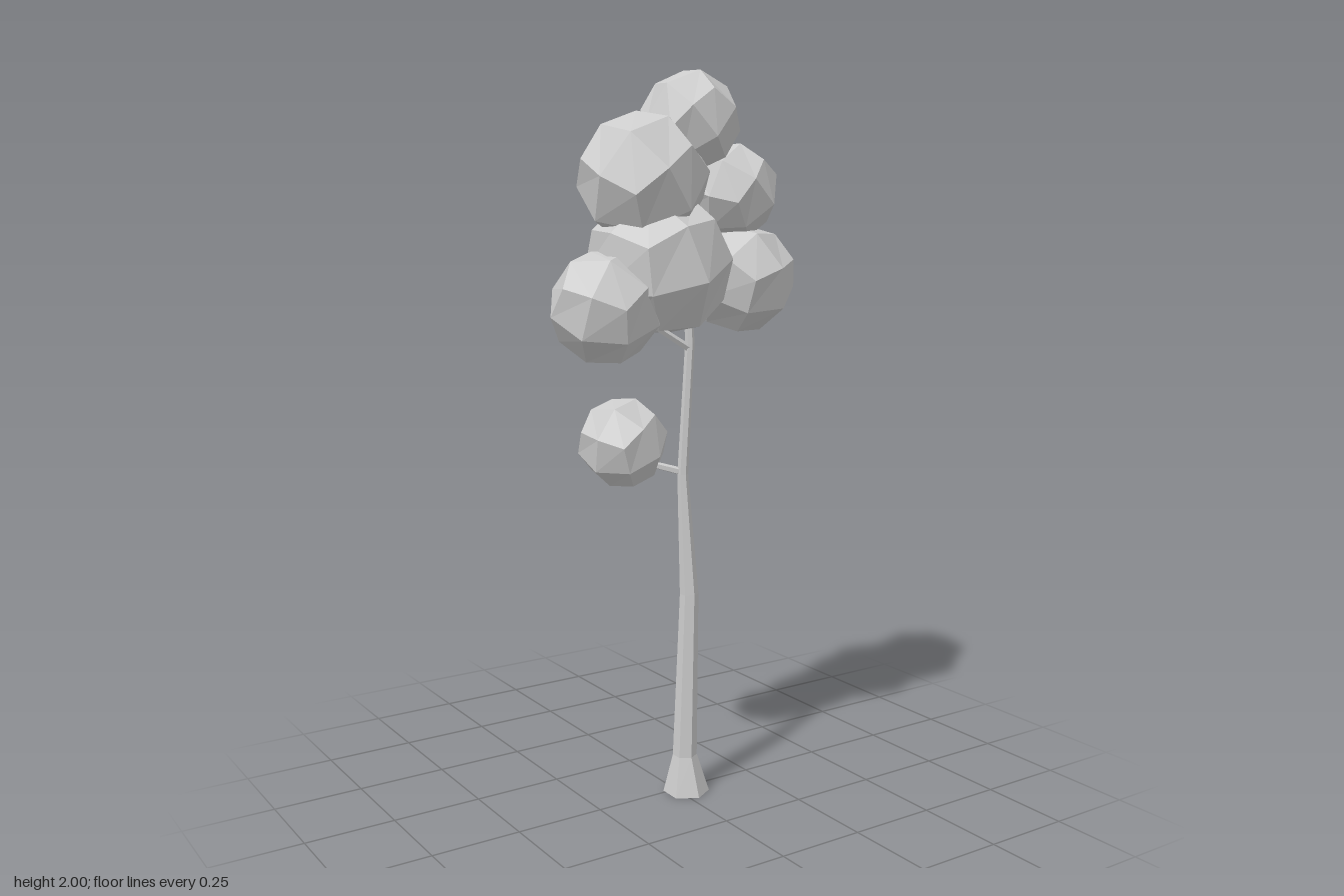
import * as THREE from 'three';

const bark = new THREE.MeshStandardMaterial({ color: 0xcccccc, flatShading: true });
const leaf = new THREE.MeshStandardMaterial({ color: 0xcccccc, flatShading: true });

// Lofted limb: one horizontal or angled ring per [x, y, z, radius] station
function limb(name, stations, sides, axis) {
  const geo = new THREE.CylinderGeometry(1, 1, 1, sides, stations.length - 1);
  const pos = geo.attributes.position;
  const turn = new THREE.Quaternion().setFromUnitVectors(new THREE.Vector3(0, 1, 0), axis);
  const v = new THREE.Vector3();
  for (let i = 0; i < pos.count; i++) {
    v.fromBufferAttribute(pos, i);
    const [x, y, z, r] = stations[Math.round((v.y + 0.5) * (stations.length - 1))];
    v.y = 0;
    v.multiplyScalar(r).applyQuaternion(turn);
    pos.setXYZ(i, v.x + x, v.y + y, v.z + z);
  }
  geo.computeVertexNormals();
  const mesh = new THREE.Mesh(geo, bark);
  mesh.name = name;
  return mesh;
}

function branch(name, a, b, r0, r1) {
  const axis = new THREE.Vector3(b[0] - a[0], b[1] - a[1], b[2] - a[2]).normalize();
  return limb(name, [[...a, r0], [...b, r1]], 5, axis);
}

// Faceted ball: a cube of 2 x 2 quads per side, pushed out to a sphere
function leafBall(name, [x, y, z, r], [rx, ry, rz]) {
  const geo = new THREE.BoxGeometry(1, 1, 1, 2, 2, 2);
  const pos = geo.attributes.position;
  const v = new THREE.Vector3();
  for (let i = 0; i < pos.count; i++) {
    v.fromBufferAttribute(pos, i).setLength(r);
    pos.setXYZ(i, v.x, v.y, v.z);
  }
  geo.computeVertexNormals();
  const mesh = new THREE.Mesh(geo, leaf);
  mesh.name = name;
  mesh.position.set(x, y, z);
  mesh.rotation.set(rx, ry, rz);
  return mesh;
}

export function createModel() {
  const tree = new THREE.Group();
  tree.name = 'tree';

  // Trunk: flared foot, gentle bends, thin top inside the crown
  tree.add(limb('trunk', [
    [0.022, 0, 0.022, 0.065],
    [0.017, 0.11, 0.022, 0.034],
    [0.029, 0.58, 0.025, 0.026],
    [0.013, 0.92, 0.016, 0.015],
    [0.029, 1.28, 0.026, 0.013],
    [0.02, 1.5, 0.02, 0.009],
  ], 6, new THREE.Vector3(0, 1, 0)));

  // Side branches
  tree.add(branch('lowerBranch', [0.015, 0.925, 0.016], [-0.1, 0.96, -0.06], 0.011, 0.009));
  tree.add(branch('upperBranch', [0.028, 1.265, 0.025], [-0.16, 1.38, 0.01], 0.011, 0.008));

  // Crown
  const crown = new THREE.Group();
  crown.name = 'crown';
  const balls = [
    ['topLeaves', [0.05, 1.87, -0.005, 0.136], [0.35, 0, 0.785]],
    ['upperLeftLeaves', [-0.1, 1.715, -0.005, 0.178], [0.5, 0.3, 0.6]],
    ['upperRightLeaves', [0.185, 1.685, -0.005, 0.133], [0.3, 0.5, 0.75]],
    ['middleLeaves', [-0.055, 1.49, 0, 0.2], [0.2, 0.15, 0.3]],
    ['rightLeaves', [0.215, 1.45, 0.003, 0.154], [0.6, 0.4, 0.1]],
    ['leftLeaves', [-0.222, 1.385, 0.005, 0.153], [0.4, 0.7, 0.3]],
    ['lowLeaves', [-0.122, 1.007, -0.078, 0.126], [0.25, 0.4, 0.5]],
  ];
  for (const [name, place, turn] of balls) crown.add(leafBall(name, place, turn));
  tree.add(crown);

  return tree;
}
